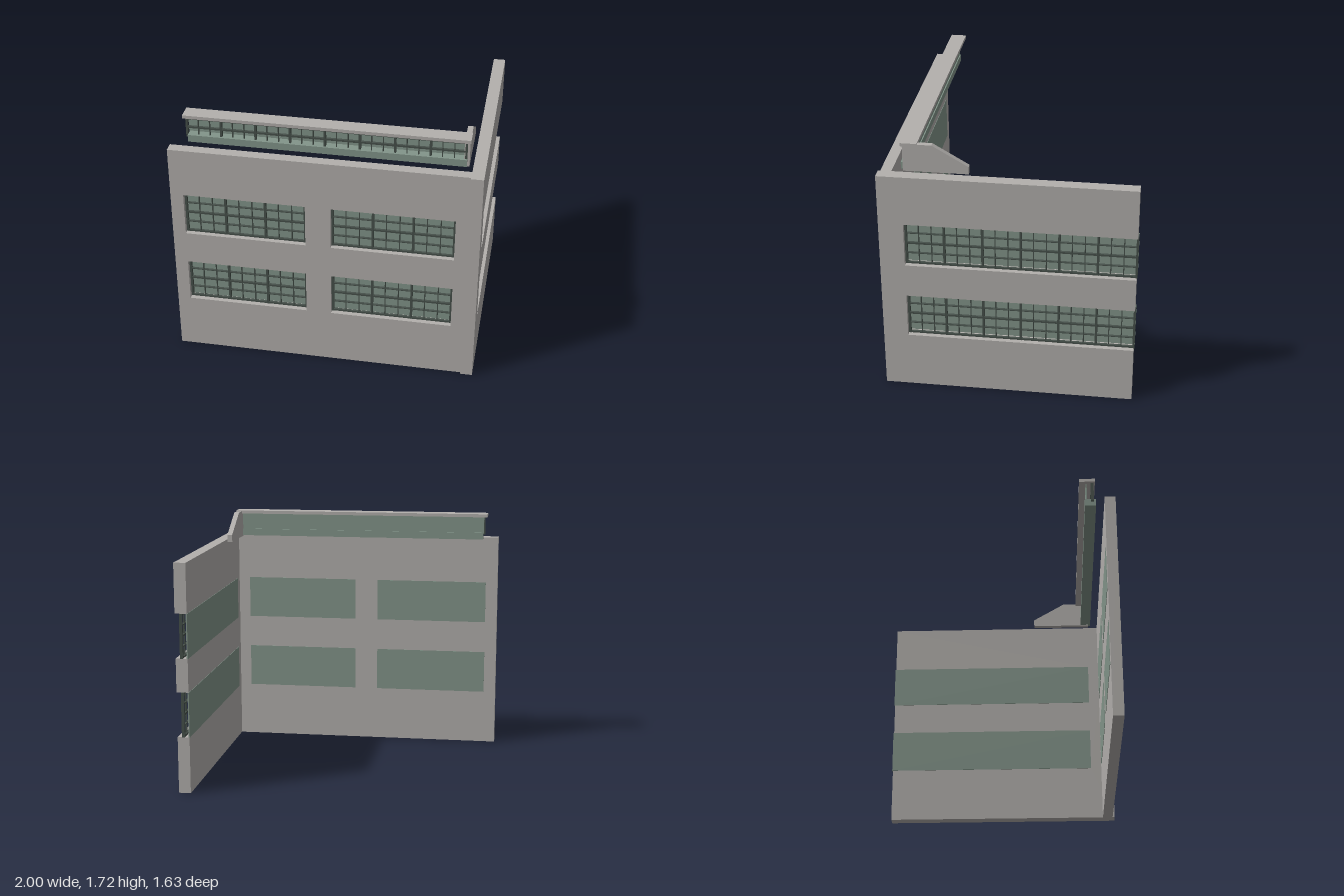
import * as THREE from 'three';

const mat = (name, color) => Object.assign(new THREE.MeshStandardMaterial({ color }), { name });

export function createModel() {
  const concrete = mat('concrete', 0xb3b0ad);
  const glass = mat('greenGlass', 0x83958a);
  const steel = mat('darkSteel', 0x46504a);

  // Box given by its minimum and maximum corners
  const box = (parent, name, m, x0, x1, y0, y1, z0, z1) => {
    const mesh = new THREE.Mesh(new THREE.BoxGeometry(x1 - x0, y1 - y0, z1 - z0), m);
    mesh.position.set((x0 + x1) / 2, (y0 + y1) / 2, (z0 + z1) / 2);
    mesh.name = name;
    parent.add(mesh);
    return mesh;
  };

  const outline = (points) => points.map(([x, y]) => new THREE.Vector2(x, y));
  const extrude = (parent, name, shape, depth) => {
    const geo = new THREE.ExtrudeGeometry(shape, { depth, bevelEnabled: false });
    const mesh = new THREE.Mesh(geo, concrete);
    mesh.name = name;
    parent.add(mesh);
    return mesh;
  };

  // Grid of glazing bars: thick border, every third upright and middle rail
  function grille(parent, x0, x1, y0, y1, z, cols, rows) {
    const g = new THREE.Group();
    g.name = 'windowGrille';
    parent.add(g);
    for (let i = 0; i <= cols; i++) {
      const w = i % 3 ? 0.006 : 0.014;
      const x = THREE.MathUtils.lerp(x0 + 0.007, x1 - 0.007, i / cols);
      const d = i % 3 ? 0.006 : 0;
      box(g, 'upright', steel, x - w / 2, x + w / 2, y0, y1, z - 0.02 + d, z - d / 2);
    }
    for (let j = 0; j <= rows; j++) {
      const h = j === 0 || j === rows || j * 2 === rows ? 0.012 : 0.006;
      const y = THREE.MathUtils.lerp(y0 + 0.006, y1 - 0.006, j / rows);
      box(g, 'rail', steel, x0, x1, y - h / 2, y + h / 2, z - 0.018, z - 0.002);
    }
  }

  // Deep-set window: bars in the opening, glass flush with the inner wall face
  function factoryWindow(parent, x0, x1, y0, y1, depth, cols) {
    const g = new THREE.Group();
    g.name = 'window';
    parent.add(g);
    grille(g, x0, x1, y0, y1, depth - 0.03, cols, 4);
    box(g, 'glass', glass, x0, x1, y0, y1, -0.003, 0.005);
  }

  const model = new THREE.Group();
  model.name = 'cornerFactoryFacade';
  const H = 1.53;
  const floors = [[0.38, 0.68], [0.905, 1.2]];

  // Front wall with four openings
  const front = new THREE.Group();
  front.name = 'frontWall';
  front.position.z = 0.73;
  const bays = [[-0.915, -0.12], [0.045, 0.84]];
  const frontShape = new THREE.Shape(outline([[-1, 0], [0.92, 0], [0.92, H], [-1, H]]));
  for (const [y0, y1] of floors) {
    for (const [x0, x1] of bays) {
      frontShape.holes.push(new THREE.Path(outline([[x0, y0], [x0, y1], [x1, y1], [x1, y0]])));
      factoryWindow(front, x0, x1, y0, y1, 0.07, 9);
    }
  }
  extrude(front, 'frontMasonry', frontShape, 0.07);
  model.add(front);

  // Side wall: its window bands run out through the rear end
  const side = new THREE.Group();
  side.name = 'sideWall';
  side.rotation.y = Math.PI / 2;
  side.position.x = 0.92;
  const rear = 0.81, start = -0.655;
  const contour = [[-0.815, 0], [rear, 0]];
  for (const [y0, y1] of floors) {
    contour.push([rear, y0], [start, y0], [start, y1], [rear, y1]);
    factoryWindow(side, start, 0.815, y0, y1, 0.08, 18);
  }
  contour.push([rear, H], [-0.815, H]);
  extrude(side, 'sideMasonry', new THREE.Shape(outline(contour)), 0.08);
  model.add(side);

  // Rooftop clerestory strip
  const roof = new THREE.Group();
  roof.name = 'clerestory';
  box(roof, 'capSlab', concrete, -0.925, 0.9, 1.693, 1.715, 0.57, 0.674);
  box(roof, 'baseBand', glass, -0.895, 0.88, H, 1.578, 0.605, 0.678);
  box(roof, 'clerestoryGlass', glass, -0.9, 0.865, 1.57, 1.695, 0.612, 0.62);
  grille(roof, -0.908, 0.88, 1.56, 1.695, 0.665, 24, 2);
  model.add(roof);

  // Sloping end cheek of the clerestory
  const cheek = extrude(roof, 'endCheek', new THREE.Shape(outline([
    [-0.663, H - 0.005], [-0.25, H - 0.005], [-0.25, 1.575], [-0.478, 1.708], [-0.663, 1.708],
  ])), 0.035);
  cheek.rotation.y = Math.PI / 2;
  cheek.position.x = 0.86;

  return model;
}
